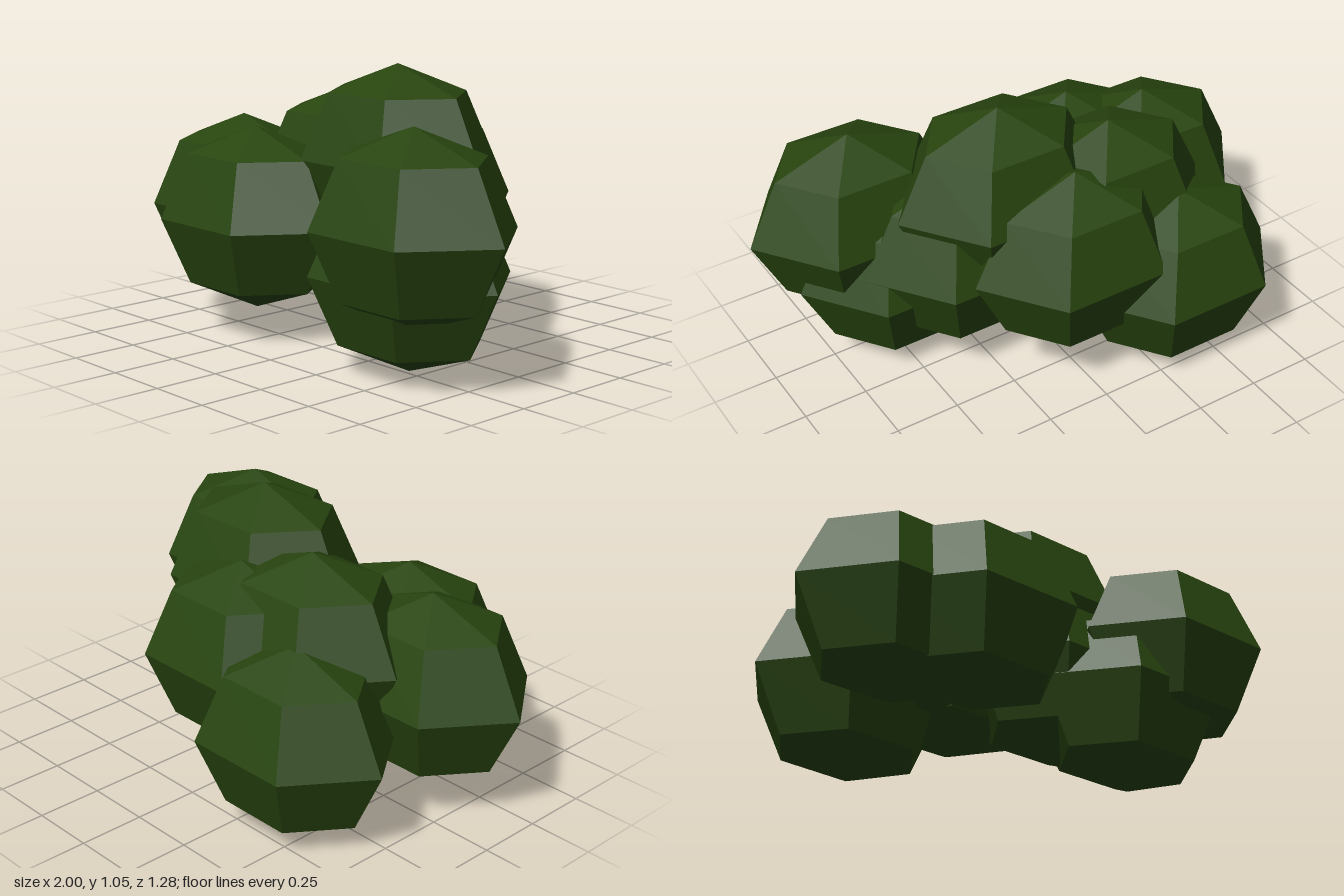
import * as THREE from 'three';

export function createModel() {
  const group = new THREE.Group();
  group.name = 'bush';

  const leafGreen = new THREE.MeshStandardMaterial({ color: 0x28450f });
  leafGreen.name = 'leafGreen';
  leafGreen.flatShading = true;

  // One faceted six-sided clump, wider than it is deep
  const clump = new THREE.SphereGeometry(1, 6, 4);
  clump.scale(0.418, 0.35, 0.335);

  // Clump centres: x, y, z
  const centres = {
    topClump: [0.15, 0.7, 0.01],
    frontLeftClump: [0.58, 0.55, 0.35],
    lowerLeftClump: [0.45, 0.355, 0.24],
    innerLeftClump: [0.27, 0.46, 0.06],
    backClump: [-0.01, 0.515, -0.25],
    upperRightClump: [-0.24, 0.58, -0.12],
    frontRightClump: [-0.33, 0.45, 0.29],
    sideRightClump: [-0.582, 0.455, 0.14],
    backRightClump: [-0.4, 0.35, -0.35],
  };
  for (const [name, centre] of Object.entries(centres)) {
    const mesh = new THREE.Mesh(clump, leafGreen);
    mesh.name = name;
    mesh.position.set(...centre);
    group.add(mesh);
  }
  return group;
}
